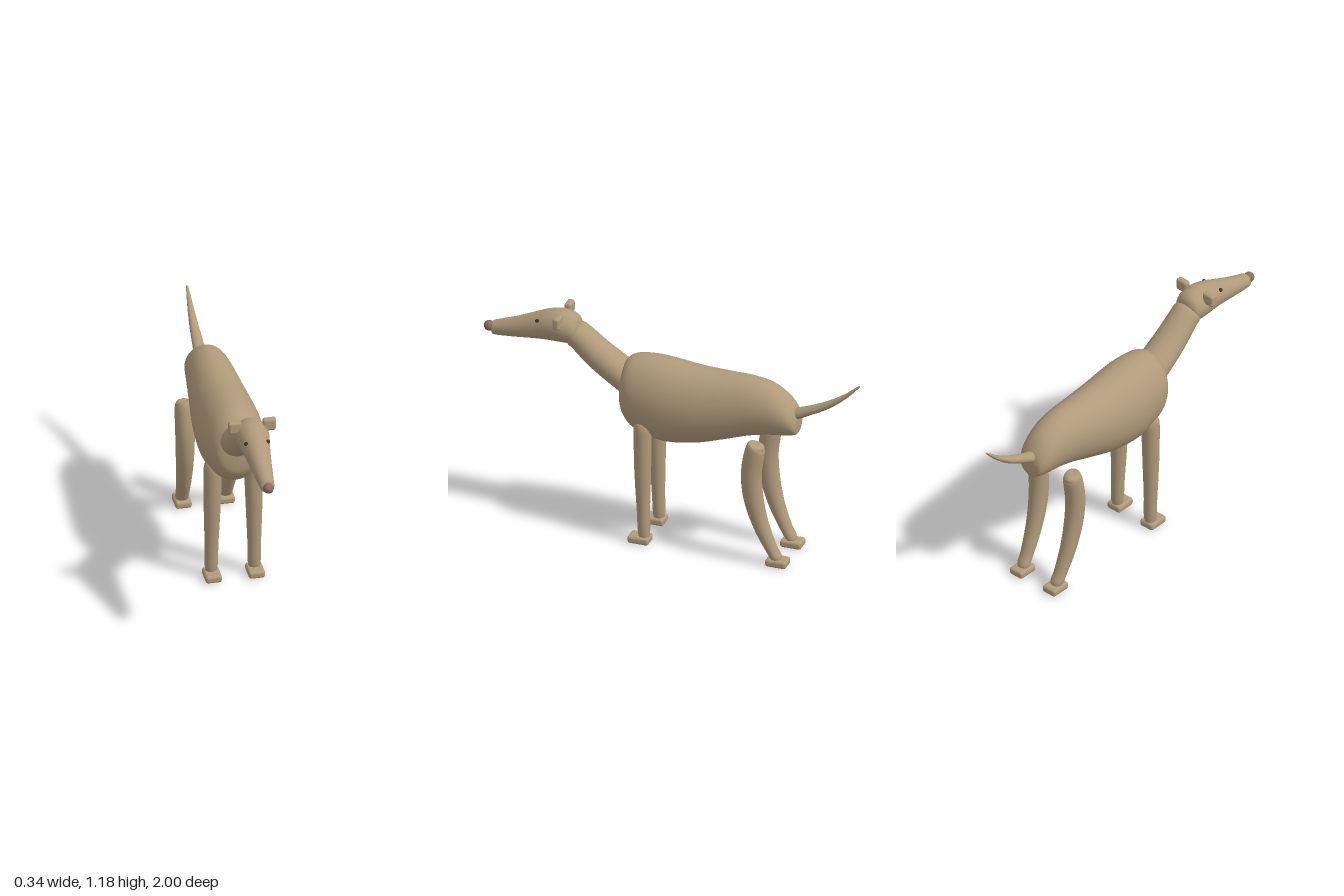
import * as THREE from 'three';
import { RoundedBoxGeometry } from 'three/addons/geometries/RoundedBoxGeometry.js';

const material = (color) => new THREE.MeshStandardMaterial({ color });

// Smooth skin over elliptical sections [x, y, z, halfWidth, halfDepth].
// Sections stand upright, or lean across the path when tilt is true.
function loft(sections, tilt = false, sides = 36, steps = 6) {
  const path = new THREE.CatmullRomCurve3(sections.map((s) => new THREE.Vector3(s[0], s[1], s[2])), false, 'catmullrom', 0.5);
  const radii = new THREE.CatmullRomCurve3(sections.map((s) => new THREE.Vector3(s[3], s[4], 0)), false, 'catmullrom', 0.5);
  const rings = (sections.length - 1) * steps;
  const across = new THREE.Vector3(1, 0, 0);
  const positions = [], index = [];
  for (let i = 0; i <= rings; i++) {
    const c = path.getPoint(i / rings), r = radii.getPoint(i / rings);
    const n = tilt ? path.getTangent(i / rings).cross(across).normalize() : new THREE.Vector3(0, 1, 0);
    for (let j = 0; j < sides; j++) {
      const a = (j / sides) * Math.PI * 2;
      const p = c.clone().addScaledVector(across, Math.cos(a) * Math.max(r.x, 0.0003));
      p.addScaledVector(n, Math.sin(a) * Math.max(r.y, 0.0003));
      positions.push(p.x, p.y, p.z);
      if (i < rings) {
        const k = (j + 1) % sides, lo = i * sides, hi = lo + sides;
        index.push(lo + j, lo + k, hi + k, lo + j, hi + k, hi + j);
      }
    }
  }
  const g = new THREE.BufferGeometry();
  g.setAttribute('position', new THREE.Float32BufferAttribute(positions, 3));
  g.setIndex(index);
  g.computeVertexNormals();
  return g;
}

// Profile rows [z, bottom, top, halfWidth] to upright sections
const profile = (rows) => rows.map(([z, lo, hi, w]) => [0, (lo + hi) / 2, z, w, (hi - lo) / 2]);

export function createModel() {
  const group = new THREE.Group();
  const coat = material(0xb09a7a), noseMat = material(0x8c6c62), eyeMat = material(0x3c342e);
  const add = (name, geometry, mat = coat, x = 0, y = 0, z = 0) => {
    const mesh = new THREE.Mesh(geometry, mat);
    mesh.name = name;
    mesh.position.set(x, y, z);
    group.add(mesh);
    return mesh;
  };

  // Deep chest, tucked belly and sloping rump
  add('body', loft(profile([
    [-0.677, 0.76, 0.76, 0], [-0.673, 0.712, 0.81, 0.055], [-0.65, 0.699, 0.86, 0.08],
    [-0.6, 0.69, 0.917, 0.097], [-0.52, 0.68, 0.962, 0.11], [-0.42, 0.658, 0.979, 0.123],
    [-0.3, 0.618, 0.98, 0.138], [-0.15, 0.572, 0.984, 0.156], [0, 0.55, 1.0, 0.165],
    [0.1, 0.562, 1.005, 0.16], [0.19, 0.6, 0.994, 0.145], [0.235, 0.65, 0.965, 0.117],
    [0.252, 0.70, 0.92, 0.08], [0.256, 0.81, 0.81, 0],
  ])));

  // Neck
  add('neck', loft([
    [0, 0.83, 0.17, 0, 0], [0, 0.833, 0.18, 0.09, 0.08], [0, 0.876, 0.26, 0.09, 0.08],
    [0, 0.956, 0.38, 0.084, 0.077], [0, 1.035, 0.475, 0.077, 0.071],
    [0, 1.065, 0.52, 0.07, 0.06], [0, 1.075, 0.54, 0, 0],
  ], true));

  // Head tapering into the long muzzle
  add('head', loft(profile([
    [0.49, 1.08, 1.08, 0], [0.495, 1.03, 1.13, 0.055], [0.52, 1.006, 1.162, 0.077],
    [0.58, 1.004, 1.176, 0.085], [0.65, 1.002, 1.166, 0.076], [0.72, 0.996, 1.139, 0.064],
    [0.83, 0.984, 1.092, 0.05], [0.93, 0.976, 1.056, 0.038], [0.952, 0.982, 1.046, 0.031],
    [0.958, 1.014, 1.014, 0],
  ])));
  add('nose', new THREE.SphereGeometry(0.027, 24, 16), noseMat, 0, 1.017, 0.973);

  // Thin tail sweeping up to a point
  add('tail', loft([
    [0, 0.80, -0.62, 0, 0], [0, 0.807, -0.64, 0.03, 0.028], [0, 0.845, -0.73, 0.029, 0.024],
    [0, 0.895, -0.83, 0.023, 0.019], [0, 0.958, -0.92, 0.015, 0.012],
    [0, 1.022, -0.99, 0.006, 0.005], [0, 1.032, -1.0, 0, 0],
  ], true));

  for (const [side, s] of [['left', 1], ['right', -1]]) {
    add(side + 'Ear', new RoundedBoxGeometry(0.068, 0.066, 0.037, 4, 0.013), coat, s * 0.088, 1.148, 0.577);
    add(side + 'Eye', new THREE.SphereGeometry(0.01, 16, 12), eyeMat, s * 0.056, 1.12, 0.698);

    // Straight front leg
    add(side + 'FrontLeg', loft([
      [s * 0.105, 0.692, 0.118, 0, 0], [s * 0.105, 0.684, 0.118, 0.027, 0.026],
      [s * 0.105, 0.65, 0.118, 0.043, 0.044], [s * 0.105, 0.57, 0.118, 0.046, 0.045],
      [s * 0.107, 0.4, 0.117, 0.042, 0.042], [s * 0.109, 0.2, 0.113, 0.035, 0.034],
      [s * 0.11, 0.04, 0.108, 0.03, 0.028], [s * 0.11, 0.025, 0.108, 0, 0],
    ], true));

    // Bowed hind leg
    add(side + 'HindLeg', loft([
      [s * 0.122, 0.674, -0.5, 0, 0], [s * 0.122, 0.666, -0.498, 0.037, 0.039],
      [s * 0.122, 0.63, -0.485, 0.048, 0.051], [s * 0.122, 0.5, -0.467, 0.049, 0.053],
      [s * 0.12, 0.36, -0.478, 0.046, 0.051], [s * 0.117, 0.22, -0.515, 0.041, 0.041],
      [s * 0.113, 0.1, -0.566, 0.035, 0.031], [s * 0.111, 0.04, -0.6, 0.031, 0.026],
      [s * 0.111, 0.025, -0.606, 0, 0],
    ], true));

    for (const [name, z] of [['FrontPaw', 0.13], ['HindPaw', -0.602]])
      add(side + name, new RoundedBoxGeometry(0.084, 0.04, 0.112, 4, 0.014), coat, s * 0.11, 0.022, z);
  }
  return group;
}
